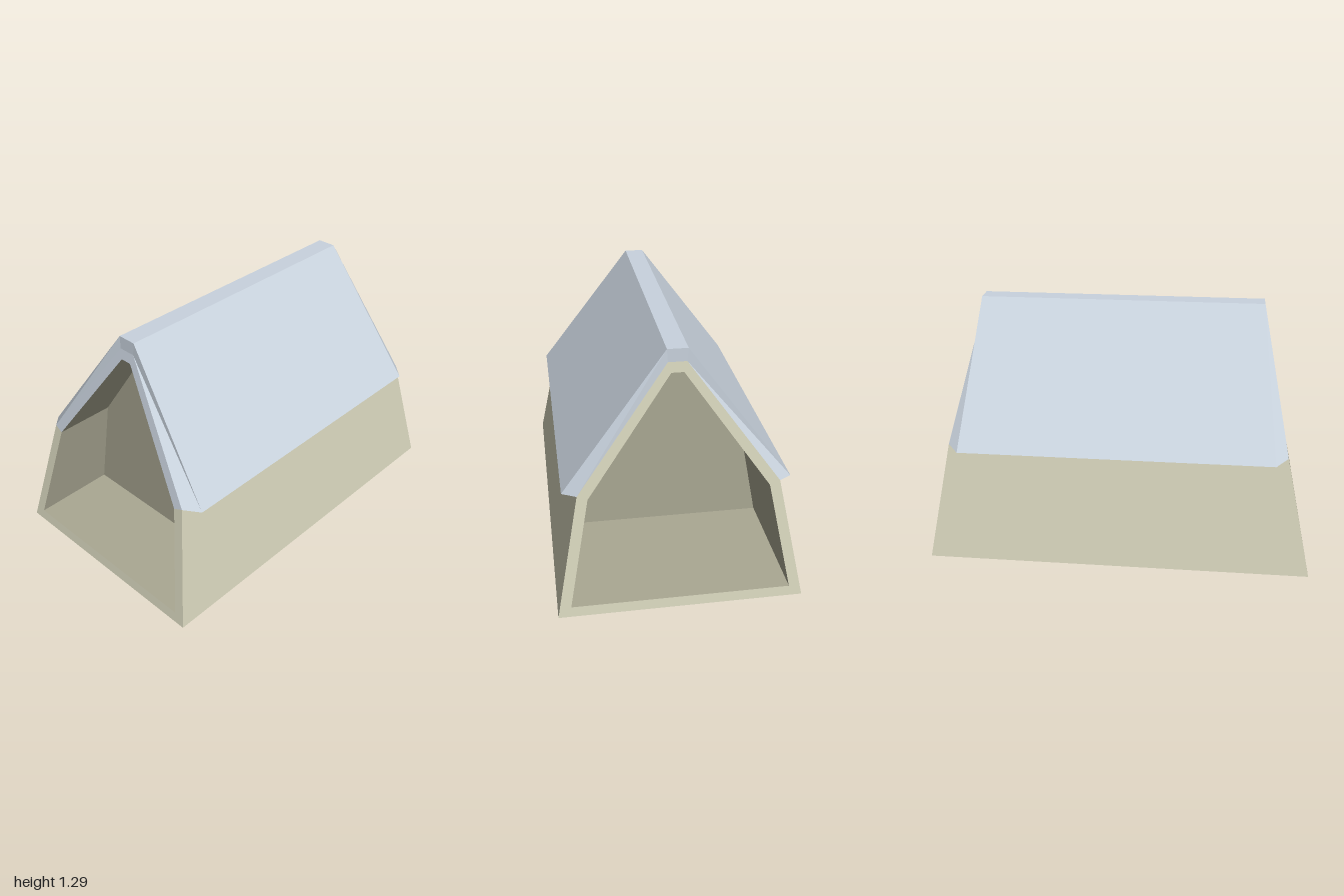
import * as THREE from 'three';

const wallMat = new THREE.MeshStandardMaterial({ name: 'sand wall', color: 0xd3d1b9 });
const innerMat = new THREE.MeshStandardMaterial({ name: 'dark sand interior', color: 0xaaa893 });
const roofMat = new THREE.MeshStandardMaterial({ name: 'pale blue roof', color: 0xc9d3de });

// Flat quads joining two rows of points
function strip(a, b) {
  const pos = [];
  for (let i = 0; i < a.length - 1; i++) {
    for (const p of [a[i], a[i + 1], b[i + 1], a[i], b[i + 1], b[i]]) pos.push(...p);
  }
  const g = new THREE.BufferGeometry();
  g.setAttribute('position', new THREE.Float32BufferAttribute(pos, 3));
  g.computeVertexNormals();
  return g;
}

// Right half of a section (bottom to top), mirrored to a full counterclockwise row
const mirror = (half) => [...half, ...half.slice().reverse().map(([x, ...r]) => [-x, ...r])];
const place = (row, zOf) => row.map(([x, y]) => [x, y, zOf(y)]);
const close = (row) => [...row, row[0]];

export function createModel() {
  const model = new THREE.Group();
  model.name = 'gabledShelter';
  const add = (name, geometry, material) => {
    const mesh = new THREE.Mesh(geometry, material);
    mesh.name = name;
    model.add(mesh);
  };

  // Both ends lean inward
  const frontZ = (y) => 1 - 0.22 * y;
  const backZ = (y) => -1 + 0.179 * y;

  const shell = mirror([[0.61, 0], [0.49, 0.615], [0.045, 1.225]]);
  const opening = mirror([[0.545, 0.05], [0.44, 0.595], [0.03, 1.175]]);
  const shellF = place(shell, frontZ), shellB = place(shell, backZ);
  const openF = place(opening, frontZ), openB = place(opening, backZ);
  // Left wall, floor and right wall only
  const lower = (r) => [r[4], r[5], r[0], r[1]];
  const gable = (r) => r.slice(1, 5);

  // Outer walls and underside
  add('outerWalls', strip(lower(shellB), lower(shellF)), wallMat);

  // End frames around the openings
  add('frontFrame', strip(lower(shellF), lower(openF)), wallMat);
  add('frontGableTrim', strip(gable(shellF), gable(openF)), roofMat);
  add('backFrame', strip(close(openB), close(shellB)), wallMat);

  // Roof with eave undersides, and bevelled ends
  const roofF = mirror([[0.56, 0.6, 0.8], [0.05, 1.29, 0.727]]);
  const roofB = mirror([[0.56, 0.6, -0.83], [0.05, 1.29, -0.781]]);
  const withEaves = (roof, s) => [s[1], ...roof, s[4]];
  add('roof', strip(withEaves(roofB, shellB), withEaves(roofF, shellF)), roofMat);
  add('frontRoofBevel', strip(roofF, gable(shellF)), roofMat);
  add('backRoofBevel', strip(gable(shellB), roofB), roofMat);

  // Recesses at both ends, each closed by a partition
  const frontDepth = 0.55, backDepth = -0.29;
  const recessF = place(opening, () => frontDepth), recessB = place(opening, () => backDepth);
  add('frontRecess', strip(close(openF), close(recessF)), innerMat);
  add('backRecess', strip(close(recessB), close(openB)), innerMat);

  const panel = new THREE.ShapeGeometry(new THREE.Shape(opening.map(([x, y]) => new THREE.Vector2(x, y))));
  add('frontPartition', panel.clone().translate(0, 0, frontDepth), innerMat);
  add('backPartition', panel.clone().rotateY(Math.PI).translate(0, 0, backDepth), innerMat);

  return model;
}
